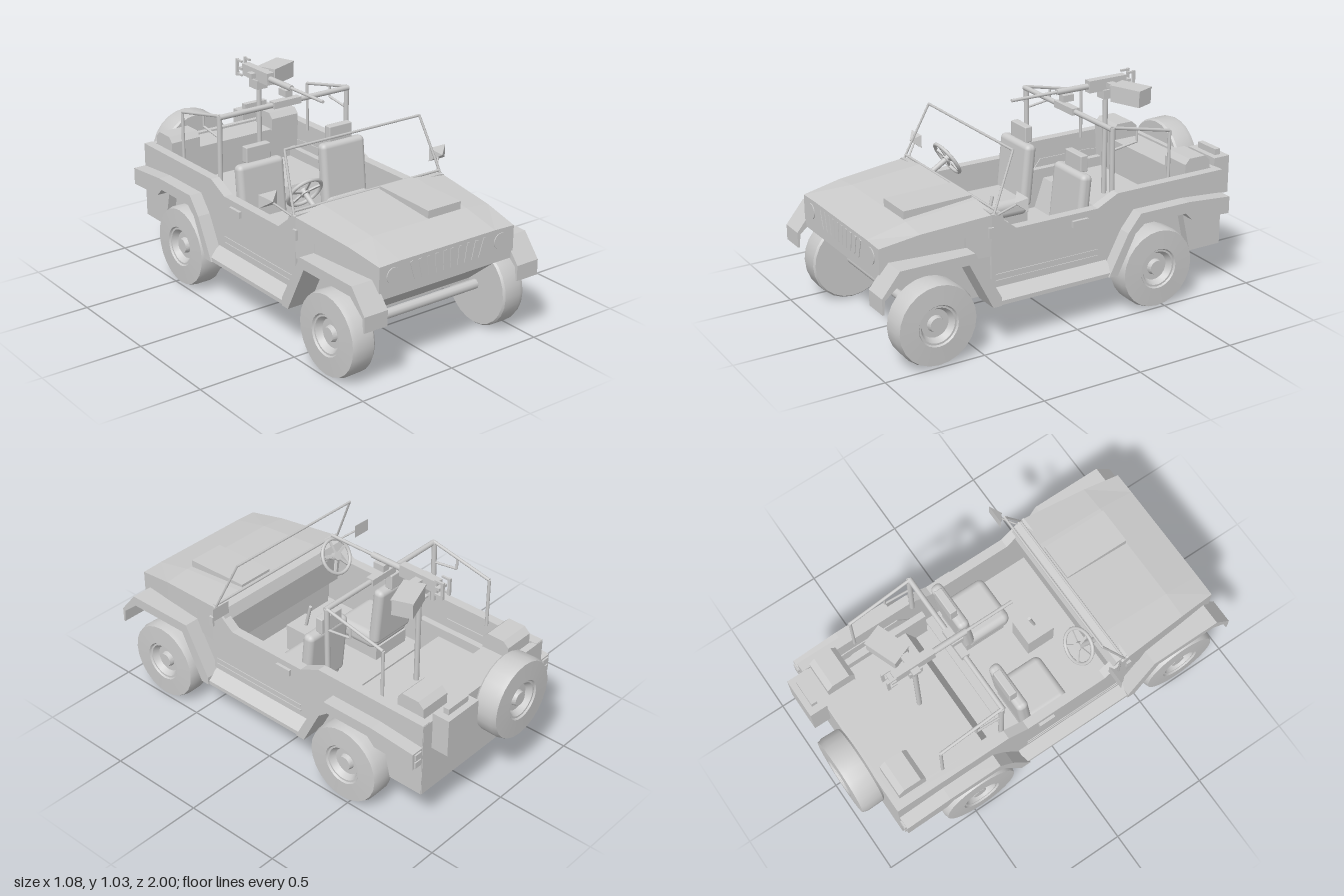
import * as THREE from 'three';
import { toCreasedNormals } from 'three/addons/utils/BufferGeometryUtils.js';
import { RoundedBoxGeometry } from 'three/addons/geometries/RoundedBoxGeometry.js';

const grey = new THREE.MeshStandardMaterial({ color: 0xcccccc });
const V = (x, y, z) => new THREE.Vector3(x, y, z);

export function createModel() {
  const model = new THREE.Group();
  const add = (name, geo, parent = model) => {
    const m = new THREE.Mesh(geo, grey);
    m.name = name;
    parent.add(m);
    return m;
  };
  // box given by its limits on each axis
  const box = (name, x0, x1, y0, y1, z0, z1, r = 0) => {
    const s = [x1 - x0, y1 - y0, z1 - z0];
    const m = add(name, r ? new RoundedBoxGeometry(...s, 3, r) : new THREE.BoxGeometry(...s));
    m.position.set((x0 + x1) / 2, (y0 + y1) / 2, (z0 + z1) / 2);
    return m;
  };
  // round bar between two points
  const bar = (name, a, b, r, sides = 10) => {
    const m = add(name, new THREE.CylinderGeometry(r, r, a.distanceTo(b), sides));
    m.position.copy(a).add(b).multiplyScalar(0.5);
    m.quaternion.setFromUnitVectors(V(0, 1, 0), b.clone().sub(a).normalize());
    return m;
  };
  const shape = pts => new THREE.Shape(pts.map(p => new THREE.Vector2(...p)));
  // side profile in (z, y), extruded from x0 to x1
  const plate = (name, pts, x0, x1) => {
    const g = new THREE.ExtrudeGeometry(shape(pts), { depth: x1 - x0, bevelEnabled: false });
    return add(name, g.rotateY(-Math.PI / 2).translate(x1, 0, 0));
  };
  const sidePlate = (name, pts, s, x0, x1) => s > 0 ? plate(name, pts, x0, x1) : plate(name, pts, -x1, -x0);
  const sideBox = (name, s, x0, x1, ...rest) => s > 0 ? box(name, x0, x1, ...rest) : box(name, -x1, -x0, ...rest);

  // skin over cross-sections ordered from back to front
  const loft = (name, sections) => {
    const p = [], n = sections[0].length;
    const tri = (...c) => c.forEach(q => p.push(...q));
    for (let i = 0; i + 1 < sections.length; i++) for (let j = 0; j < n; j++) {
      const [A, B] = [sections[i], sections[i + 1]], k = (j + 1) % n;
      tri(A[j], A[k], B[k], A[j], B[k], B[j]);
    }
    const F = sections[sections.length - 1], R = sections[0];
    for (let j = 1; j + 1 < n; j++) { tri(F[0], F[j], F[j + 1]); tri(R[0], R[j + 1], R[j]); }
    const g = new THREE.BufferGeometry();
    g.setAttribute('position', new THREE.Float32BufferAttribute(p, 3));
    g.computeVertexNormals();
    return add(name, g);
  };

  // hood and nose
  loft('hood', [[0.4, 0.432, 0.44, 0.638, 0.655], [0.76, 0.402, 0.44, 0.608, 0.622], [0.953, 0.383, 0.42, 0.575, 0.579]]
    .map(([z, w, b, s, c]) => [[-w, b, z], [w, b, z], [w, s, z], [0.27, c, z], [-0.27, c, z], [-w, s, z]]));
  loft('hoodPanel', [[0.41, 0.668], [0.755, 0.66]]
    .map(([z, t]) => [[0.05, 0.6, z], [0.24, 0.6, z], [0.24, t, z], [0.05, t, z]]));
  plate('engineBay', [[0.94, 0.43], [0.7, 0.23], [0.4, 0.23], [0.4, 0.5], [0.9, 0.5]], -0.358, 0.358);
  for (const s of [1, -1]) {
    for (let i = 0; i < 5; i++) {
      const slot = box('grilleSlot', -0.008, 0.008, -0.046, 0.046, -0.004, 0.004);
      slot.position.set(s * (0.02 + i * 0.044), 0.515, 0.952);
      slot.rotation.z = -s * 0.075 * i;
    }
    const lamp = add('headlight', new THREE.CylinderGeometry(0.039, 0.039, 0.012, 24).rotateX(Math.PI / 2));
    lamp.position.set(s * 0.305, 0.519, 0.951);
  }

  // tub
  box('underbody', -0.358, 0.358, 0.22, 0.27, -0.86, 0.7);
  box('cabinFloor', -0.4, 0.4, 0.22, 0.28, -0.2, 0.42);
  box('rearFloor', -0.385, 0.385, 0.4, 0.42, -0.7, -0.34);
  box('rearLocker', -0.385, 0.385, 0.4, 0.59, -0.86, -0.69);
  plate('floorStep', [[-0.28, 0.25], [-0.34, 0.42], [-0.36, 0.42], [-0.36, 0.25]], -0.385, 0.385);
  box('rearWall', -0.43, 0.43, 0.22, 0.6, -0.872, -0.845);
  plate('dashboard', [[0.42, 0.42], [0.42, 0.645], [0.36, 0.635], [0.34, 0.58], [0.36, 0.42]], -0.42, 0.42);
  box('console', -0.05, 0.085, 0.27, 0.42, 0.12, 0.27);
  bar('gearLever', V(0.02, 0.42, 0.2), V(0.02, 0.54, 0.17), 0.008);

  const wall = [[0.42, 0.22], [0.42, 0.64], [0.39, 0.63], [0.29, 0.55], [-0.15, 0.55], [-0.26, 0.603], [-0.87, 0.603],
    [-0.87, 0.22], [-0.69, 0.22], [-0.64, 0.43], [-0.32, 0.43], [-0.21, 0.22]];
  const rearFlare = [[-0.175, 0.22], [-0.28, 0.42], [-0.35, 0.505], [-0.63, 0.505], [-0.87, 0.485],
    [-0.87, 0.4], [-0.65, 0.41], [-0.61, 0.45], [-0.37, 0.45], [-0.32, 0.41], [-0.225, 0.22]];
  const frontFlare = [[0.405, 0.22], [0.405, 0.26], [0.54, 0.505], [0.91, 0.505], [1, 0.395], [1, 0.32],
    [0.992, 0.32], [0.985, 0.385], [0.9, 0.455], [0.57, 0.455], [0.45, 0.22]];
  for (const s of [1, -1]) {
    sidePlate('sideWall', wall, s, 0.385, 0.432);
    sidePlate('rearFender', rearFlare, s, 0.38, 0.497);
    sidePlate('frontFender', frontFlare, s, 0.372, 0.497);
    sidePlate('frontArchPanel', [[0.42, 0.24], [0.55, 0.46], [0.55, 0.55], [0.42, 0.6]], s, 0.36, 0.42);
    sideBox('rearWheelWell', s, 0.335, 0.367, 0.24, 0.47, -0.7, -0.22);
    // outward sloping sill
    const sill = shape([[0.38, 0.22], [0.49, 0.22], [0.49, 0.24], [0.43, 0.285]].map(([x, y]) => [s * x, y]));
    add('sill', new THREE.ExtrudeGeometry(sill, { depth: 0.61, bevelEnabled: false }).translate(0, 0, -0.2));
    for (const y of [0.31, 0.34]) sideBox('sideRib', s, 0.43, 0.436, y, y + 0.008, -0.15, 0.4);
    sideBox('doorHandle', s, 0.43, 0.447, 0.488, 0.52, -0.09, -0.005);
    sideBox('hoodHinge', s, 0.425, 0.442, 0.53, 0.58, 0.41, 0.435);
    for (const y of [0.405, 0.445]) sideBox('tailLamp', s, 0.445, 0.485, y, y + 0.032, -0.878, -0.865);
    // arched rests on the rear locker
    sidePlate('rearRest', [[-0.685, 0.58], [-0.685, 0.645], [-0.71, 0.672], [-0.8, 0.672], [-0.83, 0.645], [-0.83, 0.58]],
      s, 0.22, 0.383);
  }

  // wheels
  const tyre = [[0, -0.06], [0.19, -0.06], [0.198, -0.05], [0.2, 0.035], [0.192, 0.06],
    [0.1, 0.064], [0.094, 0.056], [0.085, 0.056], [0.068, 0.028], [0.04, 0.028], [0.034, 0.05], [0, 0.05]];
  const wheelGeo = toCreasedNormals(
    new THREE.LatheGeometry(tyre.map(p => new THREE.Vector2(...p)), 24).rotateZ(-Math.PI / 2), 0.5);
  for (const z of [0.727, -0.46]) {
    bar('axle', V(-0.38, 0.205, z), V(0.38, 0.205, z), 0.024);
    for (const s of [1, -1]) {
      const w = add('wheel', wheelGeo);
      w.position.set(s * 0.432, 0.2, z);
      if (s < 0) w.rotation.y = Math.PI;
    }
  }
  const spare = add('spareWheel', wheelGeo);
  spare.position.set(-0.118, 0.497, -0.935);
  spare.rotation.y = Math.PI / 2;
  box('fuelCan', 0.165, 0.37, 0.45, 0.64, -0.96, -0.87);
  box('fuelCanHandle', 0.2, 0.335, 0.64, 0.67, -0.93, -0.9);

  // seats
  for (const s of [1, -1]) {
    const x = s * 0.243;
    box('seatBase', x - 0.11, x + 0.11, 0.27, 0.35, -0.12, 0.1);
    box('seatCushion', x - 0.13, x + 0.13, 0.34, 0.43, -0.12, 0.13, 0.035);
    const back = box('seatBack', x - 0.13, x + 0.13, 0.38, 0.695, -0.15, -0.09, 0.025);
    back.rotation.x = -0.1;
    box('headrest', x - 0.068, x + 0.068, 0.69, 0.77, -0.173, -0.133, 0.005);
  }

  // steering wheel
  const steering = new THREE.Group();
  steering.name = 'steeringWheel';
  steering.position.set(-0.26, 0.66, 0.255);
  steering.rotation.x = 0.56;
  model.add(steering);
  add('steeringRim', new THREE.TorusGeometry(0.087, 0.009, 8, 28), steering);
  add('steeringHub', new THREE.CylinderGeometry(0.022, 0.022, 0.025, 12).rotateX(Math.PI / 2), steering);
  for (let i = 0; i < 5; i++)
    add('steeringSpoke', new THREE.BoxGeometry(0.012, 0.08, 0.008).translate(0, 0.042, 0), steering).rotation.z = i * Math.PI * 0.4;
  bar('steeringColumn', V(-0.26, 0.66, 0.255), V(-0.26, 0.59, 0.37), 0.013);

  // windshield frame, mirrors and roll cage
  bar('windshieldTop', V(-0.39, 0.903, 0.28), V(0.39, 0.903, 0.28), 0.006, 6);
  bar('windshieldBase', V(-0.42, 0.655, 0.395), V(0.42, 0.655, 0.395), 0.006, 6);
  bar('cageCrossbar', V(-0.38, 0.9, -0.255), V(0.38, 0.9, -0.255), 0.013);
  for (const s of [1, -1]) {
    bar('windshieldPost', V(s * 0.425, 0.64, 0.4), V(s * 0.388, 0.905, 0.28), 0.006, 6);
    bar('mirrorArm', V(s * 0.425, 0.63, 0.38), V(s * 0.485, 0.69, 0.31), 0.005, 6);
    const cup = add('mirror', toCreasedNormals(
      new THREE.ConeGeometry(0.0707, 0.04, 4).rotateY(Math.PI / 4).rotateX(Math.PI / 2), 0.2));
    cup.position.set(s * 0.492, 0.697, 0.315);
    cup.scale.y = 0.66;
    const cage = [V(s * 0.375, 0.58, -0.265), V(s * 0.375, 0.905, -0.262), V(s * 0.375, 0.835, -0.59), V(s * 0.375, 0.58, -0.59)];
    for (let i = 0; i < 3; i++) bar('cageBar', cage[i], cage[i + 1], i ? 0.008 : 0.013);
    bar('cageBrace', V(s * 0.375, 0.795, -0.262), V(s * 0.375, 0.815, -0.4), 0.006);
    bar('cageBraceStrut', V(s * 0.375, 0.815, -0.4), V(s * 0.375, 0.875, -0.4), 0.006);
  }

  // pedestal mount and mounted gun
  bar('gunPost', V(0, 0.41, -0.48), V(0, 0.93, -0.48), 0.013);
  box('mountTray', -0.08, 0.08, 0.885, 0.918, -0.275, -0.235);
  box('gunCradle', -0.03, 0.03, 0.915, 0.96, -0.52, -0.45);
  bar('gunBarrel', V(-0.003, 0.985, 0.05), V(-0.003, 0.985, -0.3), 0.008);
  bar('barrelJacket', V(-0.003, 0.985, -0.2), V(-0.003, 0.985, -0.4), 0.015);
  box('barrelRest', -0.02, 0.02, 0.935, 0.968, -0.285, -0.225);
  box('receiver', -0.022, 0.018, 0.955, 1.015, -0.59, -0.375);
  box('feedTray', -0.05, 0.06, 0.97, 0.995, -0.51, -0.47);
  box('gripBridge', -0.03, 0.026, 0.98, 0.994, -0.61, -0.585);
  for (const x of [-0.026, 0.022]) {
    box('gunGrip', x - 0.006, x + 0.006, 0.945, 1.032, -0.634, -0.62);
    for (const y of [0.95, 1.02]) box('gripArm', x - 0.005, x + 0.005, y, y + 0.01, -0.63, -0.585);
  }
  const ammo = box('ammoBox', -0.082, 0.082, 0.92, 0.995, -0.05, 0.05);
  ammo.position.set(0.138, 0.955, -0.53);
  const lid = box('ammoLid', -0.086, 0.086, 0.992, 1, -0.053, 0.053);
  lid.position.set(0.138, 0.996, -0.53);
  ammo.rotation.y = lid.rotation.y = 0.36;
  box('ammoBracket', 0.01, 0.1, 0.912, 0.922, -0.54, -0.49);

  return model;
}
